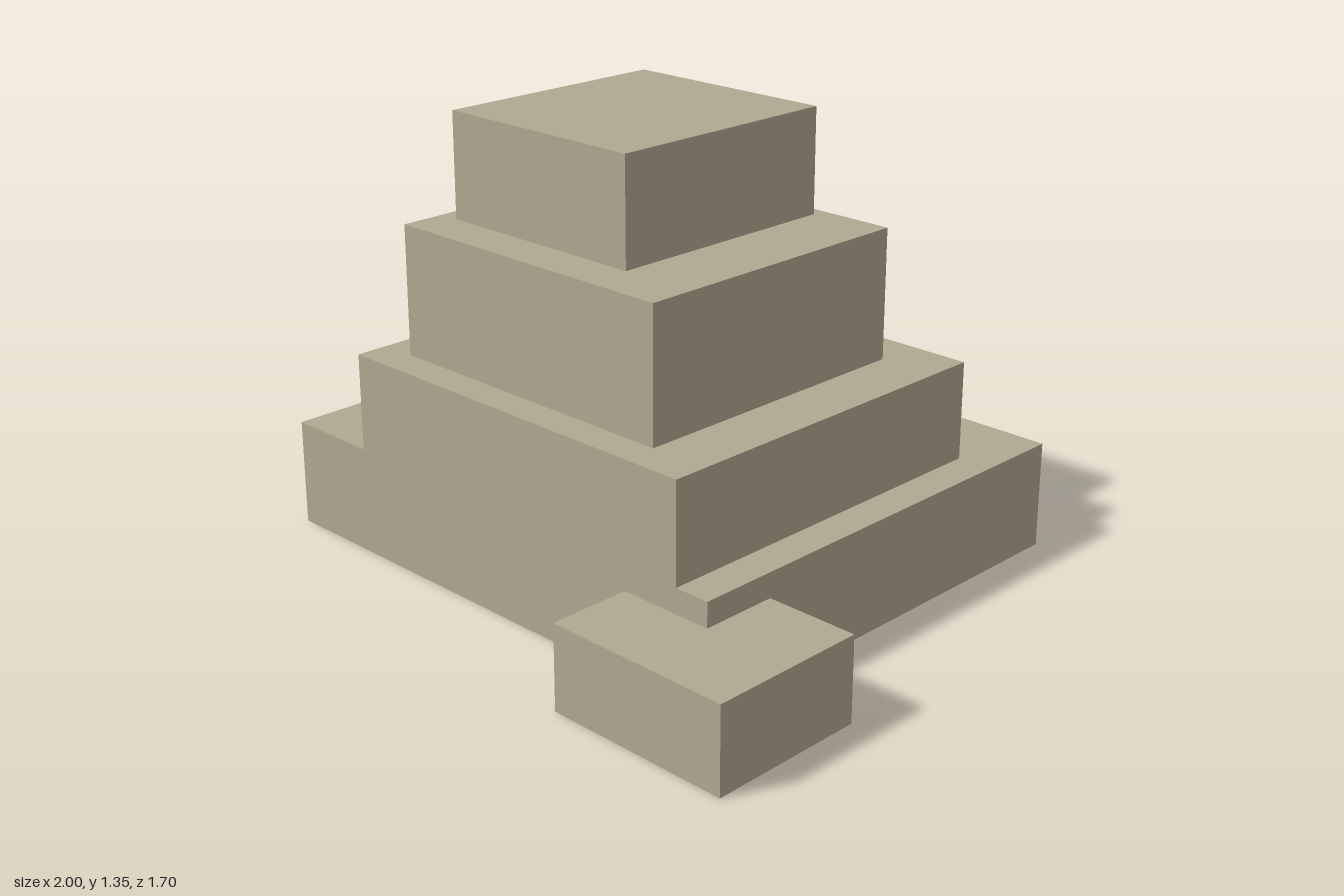
import * as THREE from 'three';

const stone = new THREE.MeshStandardMaterial({ color: 0xb0a890, side: THREE.DoubleSide });
stone.name = 'sandstone';

// Hollow block between two corners, open underneath
function block(name, [x0, x1], [y0, y1], [z0, z1]) {
  const geo = new THREE.BoxGeometry(x1 - x0, y1 - y0, z1 - z0);
  const index = Array.from(geo.index.array);
  index.splice(18, 6); // drop the bottom face
  geo.setIndex(index);
  geo.clearGroups();
  const mesh = new THREE.Mesh(geo, stone);
  mesh.name = name;
  mesh.position.set((x0 + x1) / 2, (y0 + y1) / 2, (z0 + z1) / 2);
  return mesh;
}

export function createModel() {
  const model = new THREE.Group();
  model.name = 'steppedPyramid';
  model.add(
    // Stacked tiers, the lower two flush at the front
    block('baseTier', [-1, 0.716], [0, 0.33], [-0.85, 0.598]),
    block('secondTier', [-0.69, 0.606], [0.33, 0.63], [-0.587, 0.598]),
    block('thirdTier', [-0.578, 0.422], [0.63, 1.026], [-0.443, 0.495]),
    block('topTier', [-0.513, 0.184], [1.026, 1.345], [-0.4, 0.358]),
    // Low block overlapping the front left corner
    block('cornerBlock', [0.417, 1], [0, 0.255], [0.361, 0.85])
  );
  return model;
}
